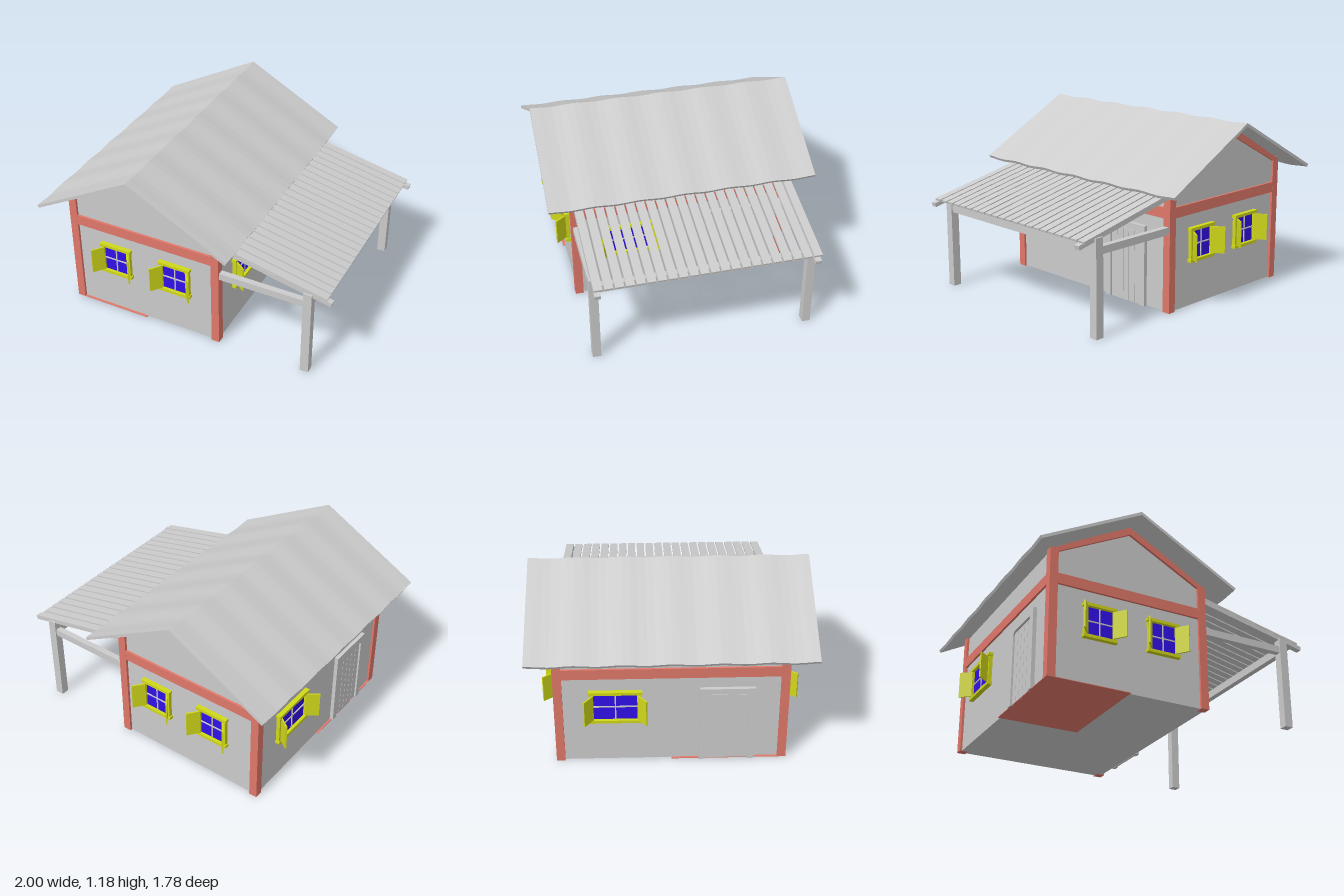
import * as THREE from 'three';

const mat = (color) => new THREE.MeshStandardMaterial({ color, flatShading: true });
const GREY = mat(0xcccccc), RED = mat(0xe0786a), YELLOW = mat(0xd0d81a), BLUE = mat(0x3010e8);

const CX = -0.315;            // centre line of the house
const HW = 0.55, HD = 0.735;  // half width and half depth to the outside of the corner posts

function add(parent, name, geometry, material, x = 0, y = 0, z = 0) {
  const mesh = new THREE.Mesh(geometry, material);
  mesh.name = name;
  mesh.position.set(x, y, z);
  parent.add(mesh);
  return mesh;
}

// Box given by its limits
function block(parent, name, material, x0, x1, y0, y1, z0, z1) {
  return add(parent, name, new THREE.BoxGeometry(x1 - x0, y1 - y0, z1 - z0), material,
    (x0 + x1) / 2, (y0 + y1) / 2, (z0 + z1) / 2);
}

// Sloping plank whose top runs from (x0, y0) to (x1, y1), with an optional ripple along z
function plank(parent, name, x0, y0, x1, y1, t, z, depth, ripple = 0) {
  const angle = Math.atan2(y1 - y0, x1 - x0);
  const geo = new THREE.BoxGeometry(Math.hypot(x1 - x0, y1 - y0), t, depth, 1, 1, ripple ? 36 : 1);
  geo.translate(0, -t / 2, 0).rotateZ(angle);
  if (ripple) {
    const p = geo.attributes.position;
    for (let i = 0; i < p.count; i++) {
      p.setY(i, p.getY(i) + ripple * Math.cos(p.getZ(i) * Math.PI * 2 / 0.297));
    }
    geo.computeVertexNormals();
  }
  return add(parent, name, geo, GREY, (x0 + x1) / 2, (y0 + y1) / 2, z);
}

const outline = (pts) => new THREE.Shape(pts.map(([x, y]) => new THREE.Vector2(x, y)));
const extrude = (shape, depth) => new THREE.ExtrudeGeometry(shape, { depth, bevelEnabled: false });
const rect = (w, h) => [[-w, -h], [w, -h], [w, h], [-w, h]];

// Window facing +z, with its back on the wall at z = 0; w is the width of the glass
function makeWindow(w) {
  const g = new THREE.Group();
  g.name = 'window';
  const a = w / 2, h = 0.095, frame = outline(rect(a + 0.02, h + 0.01));
  frame.holes.push(outline(rect(a, h)));
  add(g, 'windowFrame', extrude(frame, 0.025), YELLOW);
  for (const s of [-1, 1]) {
    block(g, s > 0 ? 'lintel' : 'sill', YELLOW, -a - 0.028, a + 0.028, s * 0.105 - 0.01, s * 0.105 + 0.01, 0, 0.032);
  }
  block(g, 'glass', BLUE, -a, a, -h, h, 0, 0.01);
  block(g, 'verticalBar', GREY, -0.004, 0.004, -h, h, 0.008, 0.016);
  block(g, 'horizontalBar', GREY, -a, a, -0.004, 0.004, 0.008, 0.016);
  // Open shutters
  for (const s of [-1, 1]) {
    const hinge = new THREE.Group();
    hinge.name = 'shutter';
    hinge.position.set(s * a, 0, 0.025);
    hinge.rotation.y = s > 0 ? -0.92 : 0.92 - Math.PI;
    if (s < 0) hinge.rotation.y = Math.PI + 0.92;
    block(hinge, 'shutterPanel', YELLOW, 0, 0.09, -0.09, 0.09, -0.005, 0.005);
    g.add(hinge);
  }
  return g;
}

// Door facing +z, standing on y = 0
function makeDoor() {
  const g = new THREE.Group();
  g.name = 'door';
  const arch = (w, h, c) => outline([[-w, 0], [w, 0], [w, h - c], [w - c * 0.3, h - c * 0.3],
    [w - c, h], [-w + c, h], [-w + c * 0.3, h - c * 0.3], [-w, h - c]]);
  const frame = outline([[-0.175, 0], [-0.132, 0], [-0.132, 0.48], [-0.115, 0.5], [0.115, 0.5],
    [0.132, 0.48], [0.132, 0], [0.175, 0], [0.175, 0.54], [-0.175, 0.54]]);
  add(g, 'doorFrame', extrude(frame, 0.025), GREY);
  add(g, 'doorLeaf', extrude(arch(0.132, 0.5, 0.02), 0.008), GREY);
  for (let i = 0; i < 5; i++) {
    const x = -0.104 + i * 0.052;
    block(g, 'doorPlank', GREY, x - 0.0245, x + 0.0245, 0, 0.49, 0.006, 0.014);
  }
  return g;
}

export function createModel() {
  const root = new THREE.Group();
  root.name = 'house';

  // Walls with gables
  const walls = outline([[-0.535, 0.002], [0.535, 0.002], [0.535, 0.85], [0, 1.15], [-0.535, 0.85]]);
  add(root, 'walls', extrude(walls, 1.436), GREY, CX, 0, -0.718);
  block(root, 'floorSlab', RED, CX - HW, CX, 0, 0.004, 0, HD);

  // Timber frame: corner posts, belt and gable rafters
  const gable = outline([[-HW, 0.845], [-0.495, 0.84], [0, 1.1], [0.495, 0.84], [HW, 0.845], [0, 1.158]]);
  for (const sz of [-1, 1]) {
    for (const sx of [-1, 1]) {
      const x = CX + sx * (HW - 0.0275), z = sz * (HD - 0.0275);
      block(root, 'cornerPost', RED, x - 0.0275, x + 0.0275, 0, 0.86, z - 0.0275, z + 0.0275);
    }
    const z = sz * (HD - 0.025);
    block(root, 'endBelt', RED, CX - HW + 0.05, CX + HW - 0.05, 0.62, 0.69, z - 0.024, z + 0.024);
    add(root, 'gableFrame', extrude(gable, 0.05), RED, CX, 0, z - 0.025);
  }
  for (const sx of [-1, 1]) {
    const x = CX + sx * (HW - 0.025);
    block(root, 'sideBelt', RED, x - 0.024, x + 0.024, 0.62, 0.69, -HD + 0.05, HD - 0.05);
  }

  // Main roof
  for (const s of [-1, 1]) {
    if (s > 0) plank(root, 'rightRoof', CX, 1.178, 0.37, 0.808, 0.02, 0, 1.78, 0.004);
    else plank(root, 'leftRoof', -1, 0.808, CX, 1.178, 0.02, 0, 1.78, 0.004);
  }

  // Windows and doors
  const place = (part, x, y, z, turn) => {
    part.position.set(x, y, z);
    part.rotation.y = turn;
    root.add(part);
  };
  const wy = 0.415, wallX = 0.535, wallZ = 0.718;
  for (const x of [-0.525, -0.085]) place(makeWindow(0.175), x, wy, wallZ, 0);
  for (const x of [-0.515, -0.07]) place(makeWindow(0.175), x, wy, -wallZ, Math.PI);
  for (const s of [-1, 1]) {
    place(makeWindow(0.28), CX + s * wallX, wy, s * 0.35, s * Math.PI / 2);
    place(makeDoor(), CX + s * wallX, 0, -s * 0.35, s * Math.PI / 2);
  }

  // Porch: posts, beams and rafters
  const porch = new THREE.Group();
  porch.name = 'porch';
  root.add(porch);
  for (const s of [-1, 1]) {
    const z = s * 0.705;
    block(porch, 'porchPost', GREY, 0.813, 0.87, 0, 0.63, z - 0.0275, z + 0.0275);
    block(porch, 'crossBeam', GREY, 0.22, 0.82, 0.522, 0.57, z - 0.02, z + 0.02);
    plank(porch, 'rafter', 0.22, 0.778, 0.997, 0.608, 0.028, s * 0.7, 0.04);
  }
  block(porch, 'longBeam', GREY, 0.82, 0.86, 0.522, 0.575, -0.69, 0.69);

  // Porch roof strips
  for (let i = 0; i < 22; i++) {
    plank(porch, 'roofStrip', 0.22, 0.793, 0.967, 0.63, 0.014, -0.708 + i * 0.0667, 0.055);
  }
  return root;
}
